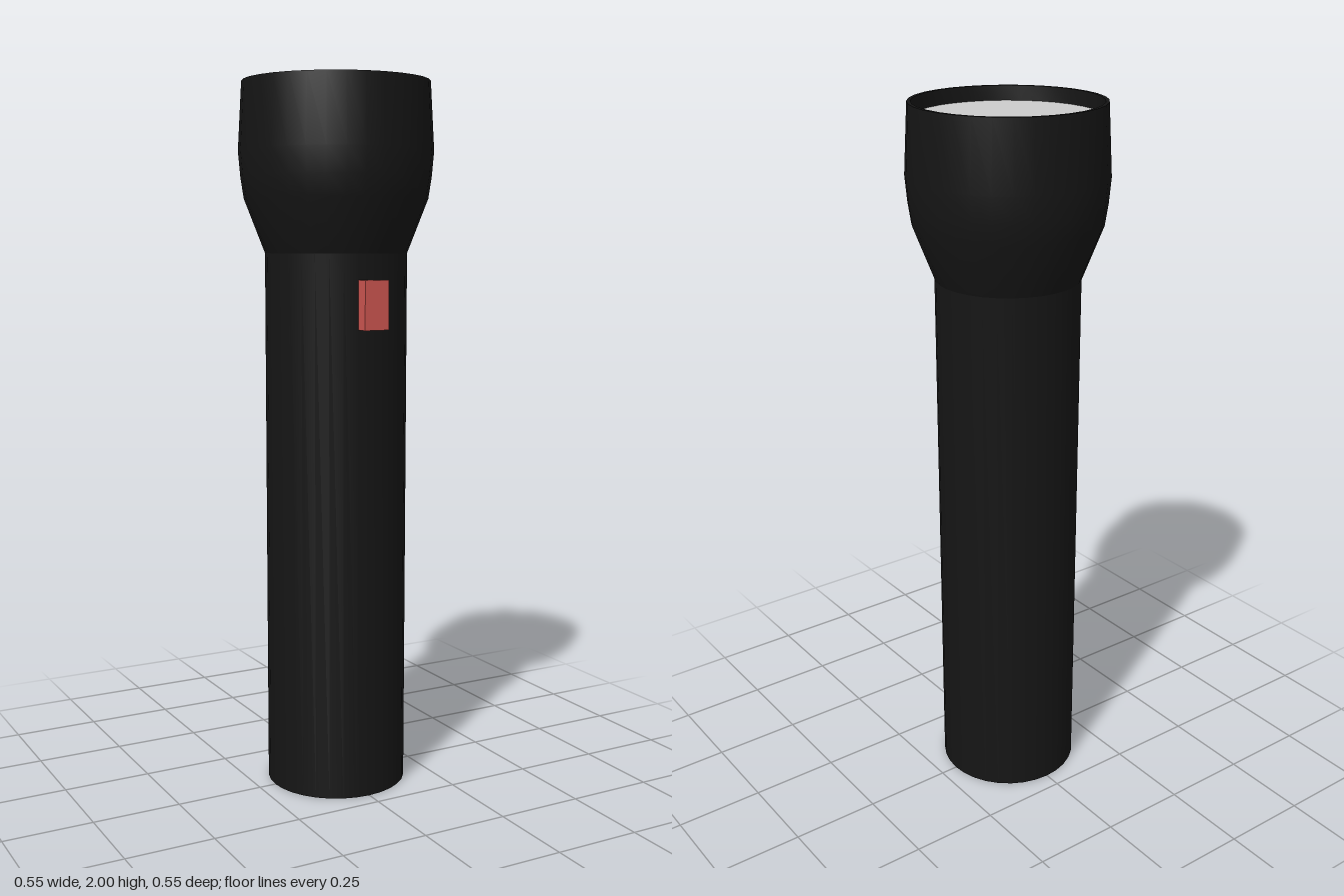
import * as THREE from 'three';
import { toCreasedNormals } from 'three/addons/utils/BufferGeometryUtils.js';

const SIDES = 32;
const LENS_Y = 1.96;
const LENS_RADIUS = 0.25;

export function createModel() {
  const model = new THREE.Group();
  model.name = 'flashlight';

  const add = (name, geometry, color) => {
    const material = new THREE.MeshStandardMaterial({ color });
    const mesh = new THREE.Mesh(geometry, material);
    mesh.name = name;
    model.add(mesh);
    return mesh;
  };

  // Turned shells: profile of [radius, height] points, sharp only at real edges
  const turned = (profile) => toCreasedNormals(
    new THREE.LatheGeometry(profile.map(([r, y]) => new THREE.Vector2(r, y)), SIDES), 0.3);

  // Handle with closed base
  add('handle', turned([[0, 0], [0.2, 0], [0.2, 1.53]]), 0x151515);

  // Flared head, rolling over the rim and down to the lens seat
  add('head', turned([
    [0.2, 1.53], [0.258, 1.68], [0.267, 1.74], [0.273, 1.81],
    [0.262, 2], [0.252, 2], [LENS_RADIUS, LENS_Y],
  ]), 0x151515);

  // Flat lens recessed inside the rim
  const lens = add('lens', new THREE.CircleGeometry(LENS_RADIUS, SIDES), 0xcccccc);
  lens.rotation.x = -Math.PI / 2;
  lens.position.y = LENS_Y;

  // Switch block sunk into the front of the handle
  const button = add('switch', new THREE.BoxGeometry(0.074, 0.134, 0.06), 0xcc5550);
  button.position.set(0, 1.392, 0.202);

  return model;
}
